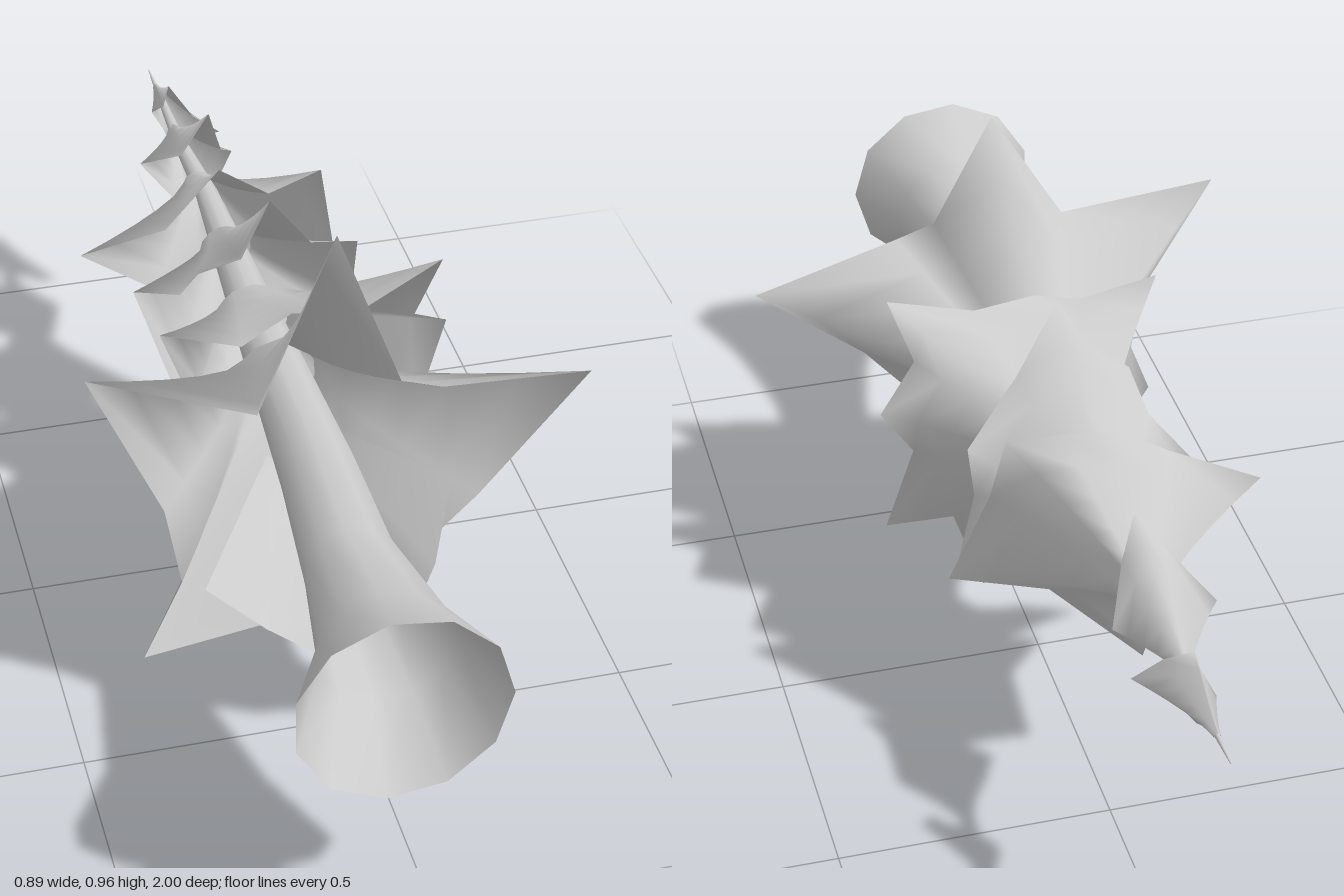
import * as THREE from 'three';

const bark = new THREE.MeshStandardMaterial({ color: 0xcccccc, side: THREE.DoubleSide });

// Skins a list of rings (arrays of Vector3, counter-clockwise seen from +z) ordered towards +z.
function skin(name, rings, closed = true) {
  const n = rings[0].length;
  const positions = [];
  const index = [];
  for (const ring of rings) for (const p of ring) positions.push(p.x, p.y, p.z);
  for (let j = 0; j < rings.length - 1; j++) {
    for (let i = 0; i < (closed ? n : n - 1); i++) {
      const a = j * n + i, b = j * n + (i + 1) % n;
      index.push(a, b, a + n, b, b + n, a + n);
    }
  }
  const geometry = new THREE.BufferGeometry();
  geometry.setAttribute('position', new THREE.Float32BufferAttribute(positions, 3));
  geometry.setIndex(index);
  geometry.computeVertexNormals();
  const mesh = new THREE.Mesh(geometry, bark);
  mesh.name = name;
  return mesh;
}

// Adds a drawn-in, lower point between every pair of neighbouring tips.
function withValleys(tips, centre, pull, drop) {
  return tips.flatMap((tip, i) => {
    const next = tips[(i + 1) % tips.length];
    const valley = [0, 1, 2].map(k => (tip[k] + next[k]) / 2);
    for (const k of [0, 1]) valley[k] = centre[k] + (valley[k] - centre[k]) * pull;
    valley[2] += drop;
    return [tip, valley];
  });
}

// A flared skirt of foliage from a narrow neck to a jagged outline.
function skirt(name, neck, neckRadius, outline, flare, closed = true) {
  const rings = [];
  for (let j = 0; j <= 5; j++) {
    const t = j / 5;
    rings.push(outline.map(([x, y, z]) => {
      const dx = x - neck[0], dy = y - neck[1];
      const length = Math.hypot(dx, dy);
      const r = neckRadius + (length - neckRadius) * t ** flare;
      return new THREE.Vector3(neck[0] + dx / length * r, neck[1] + dy / length * r, neck[2] + (z - neck[2]) * t);
    }));
  }
  return skin(name, rings, closed);
}

export function createModel() {
  const tree = new THREE.Group();
  tree.name = 'tree';

  // Trunk, flared and open at the foot: x, y, z, radius
  const sections = [
    [-0.05, 0.51, -1, 0.001], [-0.05, 0.51, -0.88, 0.007], [-0.05, 0.51, -0.7, 0.013],
    [-0.04, 0.51, -0.5, 0.022], [-0.04, 0.49, -0.1, 0.045], [-0.045, 0.485, 0.4, 0.07],
    [-0.055, 0.48, 0.65, 0.083], [-0.05, 0.47, 0.85, 0.118], [-0.06, 0.46, 1, 0.186],
  ];
  const sides = 11;
  tree.add(skin('trunk', sections.map(([x, y, z, r]) => Array.from({ length: sides }, (_, i) => {
    const a = i / sides * Math.PI * 2;
    return new THREE.Vector3(x + Math.cos(a) * r, y + Math.sin(a) * r, z);
  }))));

  // Lowest and widest skirt
  tree.add(skirt('firstSkirt', [-0.045, 0.48, 0.08], 0.075, [
    [-0.01, 0.96, 0.37], [-0.17, 0.68, 0.46], [-0.45, 0.75, 0.39], [-0.33, 0.49, 0.44],
    [-0.3, 0.32, 0.43], [-0.36, 0.11, 0.37], [-0.11, 0.21, 0.44], [0.08, 0.25, 0.43],
    [0.14, 0.33, 0.44], [0.23, 0.43, 0.45], [0.445, 0.625, 0.4], [0.16, 0.675, 0.45], [0.085, 0.7, 0.45],
  ], 1.3));

  // Drooping frond under the lowest skirt
  tree.add(skirt('lowerFrond', [-0.045, 0.47, 0.25], 0.07, [
    [-0.265, 0.32, 0.46], [-0.17, 0.26, 0.52], [-0.06, 0.19, 0.55], [0.055, 0.003, 0.485],
    [0.08, 0.23, 0.54], [0.14, 0.33, 0.5], [0.19, 0.455, 0.42],
  ], 1, false));

  // Remaining skirts towards the tip: neck, neck radius, tips, valley pull, valley drop, flare
  const skirts = [
    ['secondSkirt', [-0.045, 0.49, -0.1], 0.07, [
      [0.245, 0.73, 0.15], [-0.04, 0.68, 0.18], [-0.28, 0.68, 0.19], [-0.27, 0.43, 0.19],
      [-0.16, 0.23, 0.2], [0.075, 0.07, 0.13], [0.255, 0.215, 0.17], [0.28, 0.54, 0.07]], 0.8, 0.02, 1.2],
    ['thirdSkirt', [-0.045, 0.5, -0.32], 0.05, [
      [-0.03, 0.79, -0.02], [-0.16, 0.64, -0.04], [-0.25, 0.51, -0.2], [-0.2, 0.18, -0.02],
      [0.09, 0.2, -0.02], [0.2, 0.36, -0.18], [0.17, 0.59, -0.15]], 0.87, 0.03, 1.2],
    ['fourthSkirt', [-0.05, 0.51, -0.55], 0.025, [
      [0.13, 0.68, -0.27], [-0.06, 0.69, -0.3], [-0.33, 0.54, -0.3], [-0.08, 0.28, -0.42],
      [0.22, 0.35, -0.2]], 0.85, 0.04, 1.3],
    ['fifthSkirt', [-0.05, 0.51, -0.76], 0.01, [
      [-0.03, 0.68, -0.52], [-0.15, 0.53, -0.61], [-0.06, 0.41, -0.58], [0.04, 0.52, -0.63]], 0.85, 0.04, 1.3],
    ['topSkirt', [-0.05, 0.51, -0.93], 0.006, [
      [-0.05, 0.585, -0.8], [-0.08, 0.51, -0.83], [-0.05, 0.45, -0.82], [0.04, 0.5, -0.74]], 0.85, 0.02, 1.3],
  ];
  for (const [name, neck, radius, tips, pull, drop, flare] of skirts) {
    tree.add(skirt(name, neck, radius, withValleys(tips, neck, pull, drop), flare));
  }

  return tree;
}
